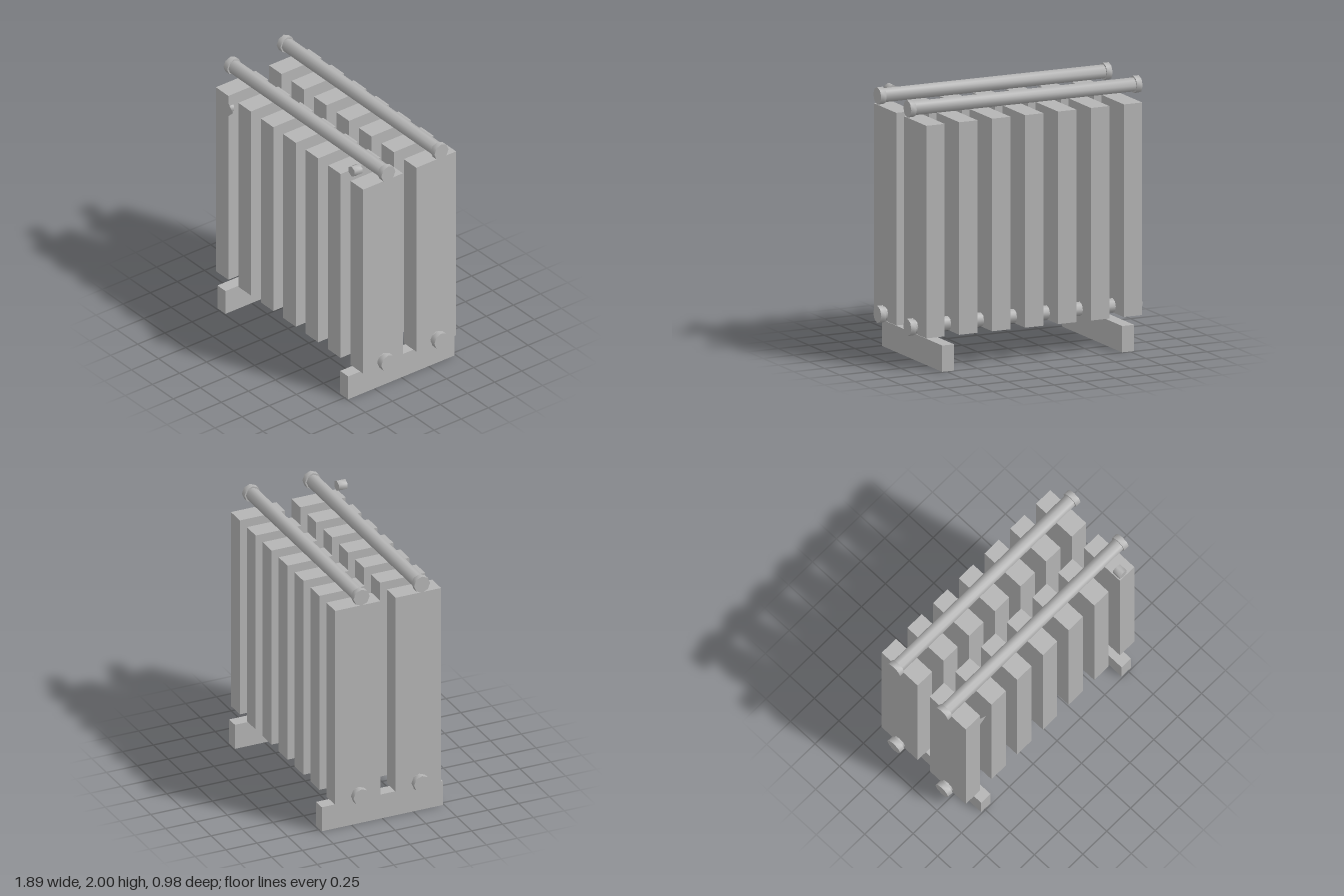
import * as THREE from 'three';
import { toCreasedNormals } from 'three/addons/utils/BufferGeometryUtils.js';

const grey = new THREE.MeshStandardMaterial({ color: 0xb4b4b4, side: THREE.DoubleSide });
grey.name = 'paintedGrey';

// Box standing on y = 0 with its underside left open
function openBox(w, h, d) {
  const g = new THREE.BoxGeometry(w, h, d);
  const index = Array.from(g.index.array);
  index.splice(18, 6); // the -y face
  g.setIndex(index);
  return g.translate(0, h / 2, 0);
}

// Faceted rod with smooth sides and sharp ends
function rod(radius, length, sides, axis) {
  const g = new THREE.CylinderGeometry(radius, radius, length, sides);
  if (axis === 'x') g.rotateZ(Math.PI / 2);
  else g.rotateX(Math.PI / 2);
  return toCreasedNormals(g, 1.1);
}

export function createModel() {
  const model = new THREE.Group();
  model.name = 'radiator';
  const add = (name, geometry, x, y, z, parent = model) => {
    const mesh = new THREE.Mesh(geometry, grey);
    mesh.name = name;
    mesh.position.set(x, y, z);
    parent.add(mesh);
    return mesh;
  };

  const finGeo = openBox(0.15, 1.59, 0.367);
  const pipeGeo = rod(0.053, 1.82, 8, 'x');
  const capGeo = rod(0.065, 0.045, 8, 'x');
  const footGeo = openBox(0.097, 0.197, 0.98);

  // Two rows of fins, each with an upper and a lower pipe
  for (const z of [0.245, -0.245]) {
    const row = new THREE.Group();
    row.name = z > 0 ? 'frontRow' : 'backRow';
    model.add(row);
    for (let i = -3; i <= 3; i++) add('fin', finGeo, i * 0.269, 0.248, z, row);
    for (const y of [0.3, 1.935]) {
      add('pipe', pipeGeo, 0, y, z, row);
      for (const s of [-1, 1]) add('pipeCap', capGeo, s * 0.9225, y, z, row);
    }
  }

  // Feet running front to back
  for (const s of [-1, 1]) add('foot', footGeo, s * 0.735, 0, 0);

  // Hexagonal vent on the upper front pipe
  add('ventValve', rod(0.042, 0.07, 6, 'z'), 0.757, 1.935, 0.403);

  // Control: short stem and a thin diamond handle
  add('valveStem', rod(0.042, 0.04, 6, 'z'), -0.757, 1.72, 0.405);
  add('valveHandle', new THREE.CircleGeometry(0.084, 4), -0.757, 1.72, 0.431);

  return model;
}
